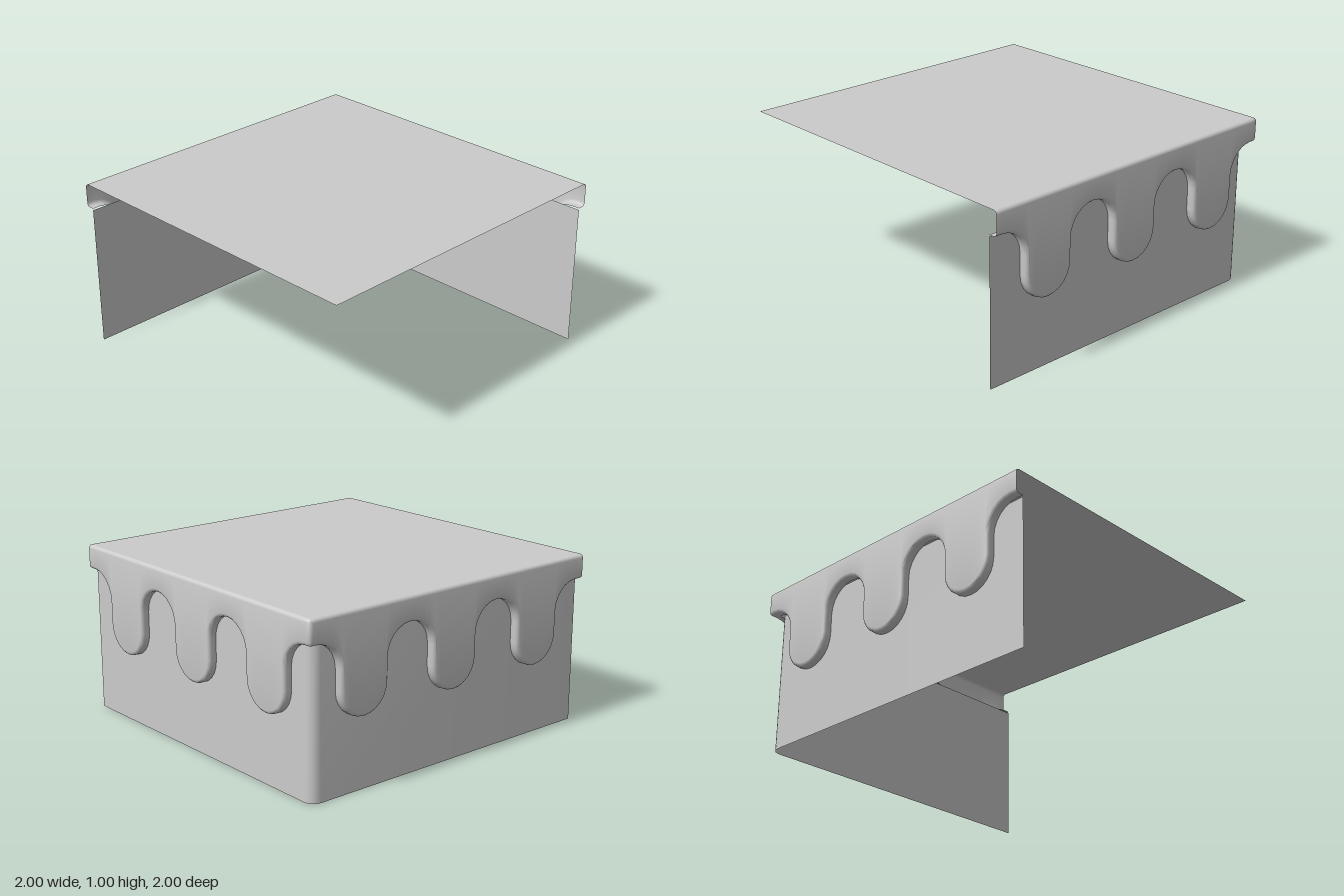
import * as THREE from 'three';
import { toCreasedNormals } from 'three/addons/utils/BufferGeometryUtils.js';

const R = 0.02;       // rounding of the upper slab's edges and corner
const BEVEL = 0.02;   // rounding of the wavy lip
const DEPTH = 0.05;   // overhang of the drape in front of the wall
const WAVE = 0.159;   // radius of every scallop arc

const material = new THREE.MeshStandardMaterial({ color: 0xcccccc, side: THREE.DoubleSide });

// Surface through a grid of points, columns running to the right and rows downward
function gridGeometry(columns, flip = false) {
  const rows = columns[0].length;
  const index = [];
  for (let c = 0; c < columns.length - 1; c++) {
    for (let r = 0; r < rows - 1; r++) {
      const a = c * rows + r, b = a + rows;
      if (flip) index.push(a, b, a + 1, b, b + 1, a + 1);
      else index.push(a, a + 1, b, b, a + 1, b + 1);
    }
  }
  const geometry = new THREE.BufferGeometry().setFromPoints(columns.flat());
  geometry.setIndex(index);
  return toCreasedNormals(geometry, 0.7);
}

function addMesh(group, name, geometry) {
  const mesh = new THREE.Mesh(geometry, material);
  mesh.name = name;
  group.add(mesh);
}

// Wavy lower edge: position (s, y) and direction (ns, ny) into the drape
function wavyEdge() {
  const edge = [{ s: 1, y: 0.86, ns: 0, ny: 1 }];
  for (let k = 6; k >= -6; k -= 2) {
    const sign = (k / 2) % 2 !== 0 ? 1 : -1; // arch or tongue
    const centreY = sign > 0 ? 0.701 : 0.579;
    const first = k === 6 ? 6 : 0, last = k === -6 ? 6 : 12;
    for (let i = first; i <= last; i++) {
      const t = (i / 12) * Math.PI;
      // tongues and arches alternate, always travelling towards the corner
      const s = k * WAVE + WAVE * Math.cos(t);
      edge.push({
        s, y: centreY + sign * WAVE * Math.sin(t),
        ns: sign * Math.cos(t), ny: Math.sin(t),
      });
    }
  }
  // half of the rounded corner, the mirrored side supplies the other half
  for (let i = 0; i <= 3; i++) {
    edge.push({ y: 0.86, ns: 0, ny: 1, phi: (i / 3) * Math.PI / 4 });
  }
  return edge;
}

// One draped side: rounded top edge, face and rolled lip
function drapeGeometry(mirrored) {
  const columns = wavyEdge().map((e) => {
    const place = (d, y, inset) => {
      let x = 1 - d, z = e.s + e.ns * inset;
      if (e.phi !== undefined) {
        const c = 1 - Math.max(R, d), r = Math.max(R - d, 0);
        x = c + r * Math.cos(e.phi);
        z = -(c + r * Math.sin(e.phi));
      }
      return mirrored ? new THREE.Vector3(-z, y, -x) : new THREE.Vector3(x, y, z);
    };
    const column = [];
    for (let i = 0; i <= 4; i++) {
      const t = (i / 4) * Math.PI / 2;
      column.push(place(R - R * Math.sin(t), 1 - R + R * Math.cos(t), 0));
    }
    for (let i = 0; i <= 3; i++) {
      const t = (i / 3) * Math.PI / 2;
      const inset = BEVEL * (1 - Math.sin(t));
      column.push(place(BEVEL * (1 - Math.cos(t)), e.y + e.ny * inset, inset));
    }
    column.push(place(DEPTH, e.y, 0));
    return column;
  });
  return gridGeometry(columns, mirrored);
}

// Lower wall: two faces joined by a rounded corner
function wallGeometry() {
  const face = 1 - DEPTH, radius = 0.06, c = face - radius;
  const path = [[face, 1]];
  for (let i = 0; i <= 5; i++) {
    const t = (i / 5) * Math.PI / 2;
    path.push([c + radius * Math.cos(t), -(c + radius * Math.sin(t))]);
  }
  path.push([-1, -face]);
  return gridGeometry(path.map(([x, z]) => [
    new THREE.Vector3(x, 0.85, z), new THREE.Vector3(x, 0, z),
  ]));
}

export function createModel() {
  const group = new THREE.Group();
  group.name = 'cornerGroundTile';

  const top = new THREE.PlaneGeometry(2 - R, 2 - R);
  top.rotateX(-Math.PI / 2).translate(-R / 2, 1, R / 2);
  addMesh(group, 'topSurface', top);

  addMesh(group, 'leftDrape', drapeGeometry(false));
  addMesh(group, 'backDrape', drapeGeometry(true));
  addMesh(group, 'lowerWall', wallGeometry());
  return group;
}
